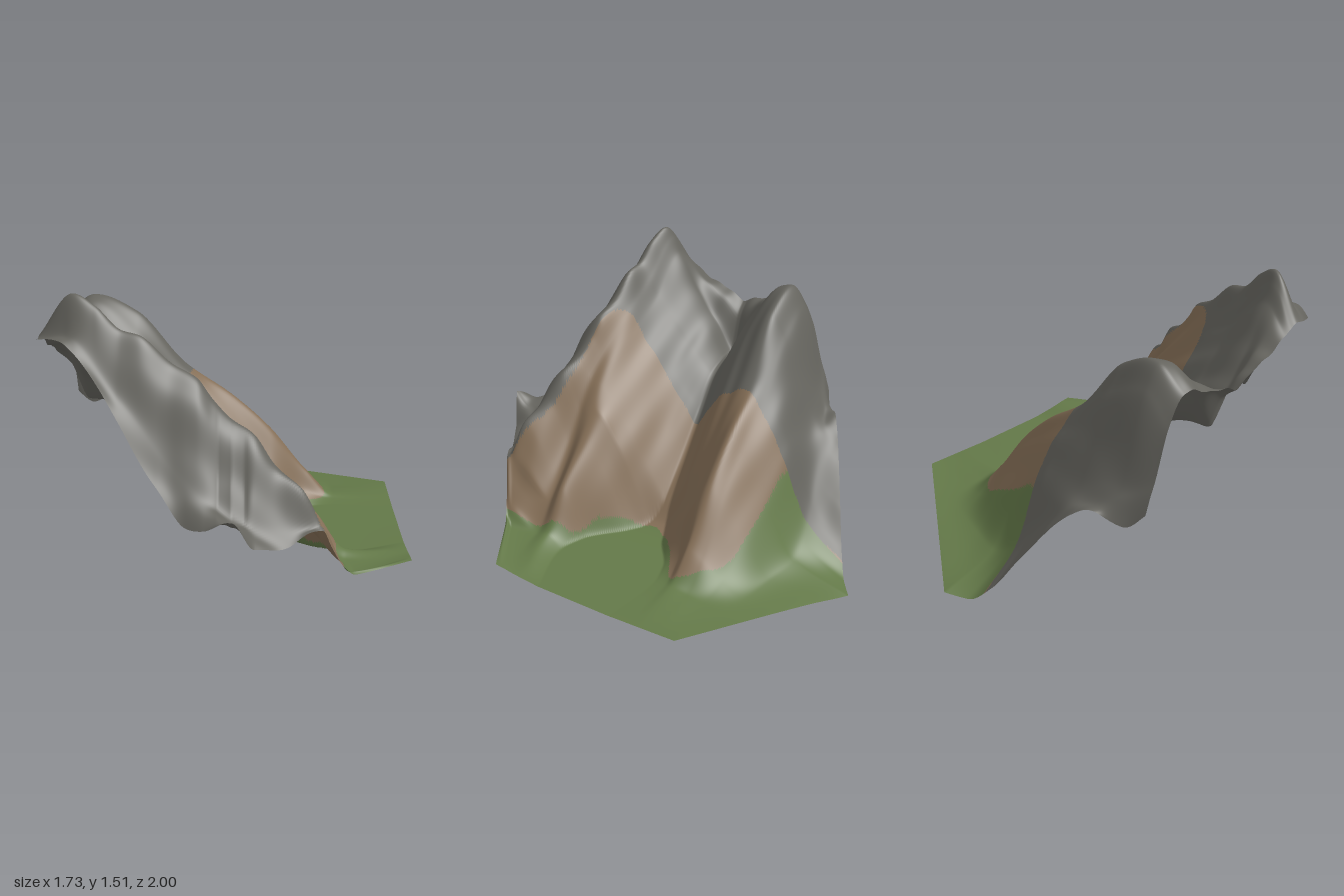
import * as THREE from 'three';

// Monotone cubic interpolation through (xs, ys)
function curve(xs, ys) {
  const n = xs.length, d = [], m = [];
  for (let i = 0; i < n - 1; i++) d.push((ys[i + 1] - ys[i]) / (xs[i + 1] - xs[i]));
  for (let i = 0; i < n; i++) {
    if (i === 0) m.push(d[0]);
    else if (i === n - 1) m.push(d[n - 2]);
    else m.push(d[i - 1] * d[i] <= 0 ? 0 : 2 * d[i - 1] * d[i] / (d[i - 1] + d[i]));
  }
  return (x) => {
    if (x <= xs[0]) return ys[0];
    if (x >= xs[n - 1]) return ys[n - 1];
    let i = 0;
    while (x > xs[i + 1]) i++;
    const h = xs[i + 1] - xs[i], t = (x - xs[i]) / h, t2 = t * t, t3 = t2 * t;
    return (2 * t3 - 3 * t2 + 1) * ys[i] + (t3 - 2 * t2 + t) * h * m[i]
      + (3 * t2 - 2 * t3) * ys[i + 1] + (t3 - t2) * h * m[i + 1];
  };
}

const HALF = Math.sqrt(3) / 2;
const edgeZ = (x) => 1 - Math.abs(x) / Math.sqrt(3);

// Feature lines of the land run along x; each has a z path and a height path
const stations = [-HALF, -0.72, -0.5, -0.25, 0, 0.2, 0.4, 0.55, HALF];
const along = (...values) => curve(stations, values);
const crestZ = along(0.42, 0.44, 0.49, 0.515, 0.57, 0.65, 0.72, 0.65, 0.455);
const valleyY = curve(
  [-HALF, -0.8, -0.72, -0.62, -0.5, -0.34, -0.18, 0, 0.1, 0.16, HALF],
  [1.11, 1.05, 0.86, 0.845, 0.8, 0.635, 0.45, 0.265, 0.16, 0.14, 0.135]);
const backRimY = curve(
  [-HALF, -0.78, -0.66, -0.57, -0.455, -0.34, -0.22, -0.107, 0, 0.2, HALF],
  [0.69, 0.6, 0.65, 0.61, 0.47, 0.29, 0.1, 0.002, 0.01, 0.045, 0.13]);
const frontRimY = curve(
  [-HALF, -0.75, -0.69, -0.5, -0.33, -0.2, -0.12, 0, 0.1, 0.25, 0.36, 0.41, 0.45, 0.52, 0.58, HALF],
  [1.31, 1.32, 1.29, 1.01, 0.74, 0.58, 0.6, 0.66, 0.51, 0.475, 0.515, 0.5, 0.41, 0.28, 0.22, 0.2]);
const crestY = curve(
  [-HALF, -0.7, -0.6, -0.49, -0.41, -0.27, -0.155, -0.085, 0, 0.1, 0.195, 0.31, 0.38, 0.45, 0.51, 0.575, HALF],
  [1.31, 1.507, 1.45, 1.345, 1.325, 1.205, 1.145, 1.05, 0.96, 0.9, 0.775, 0.69, 0.565, 0.405, 0.285, 0.21, 0.193]);

const backLines = [
  // back rim
  { z: (x) => -edgeZ(x), y: backRimY },
  // back foot and lower flank
  { z: along(-0.475, -0.54, -0.63, -0.68, -0.7, -0.66, -0.62, -0.57, -0.475),
    y: along(0.76, 0.7, 0.59, 0.31, 0.12, 0.105, 0.1, 0.105, 0.131) },
  { z: along(-0.45, -0.5, -0.55, -0.54, -0.53, -0.52, -0.5, -0.48, -0.45),
    y: along(0.82, 0.77, 0.69, 0.63, 0.42, 0.29, 0.16, 0.118, 0.131) },
  // back ridge: outer shoulder, crest, inner shoulder
  { z: along(-0.38, -0.38, -0.38, -0.39, -0.39, -0.39, -0.39, -0.39, -0.38),
    y: along(1.06, 1.19, 1.09, 0.86, 0.65, 0.47, 0.25, 0.135, 0.132) },
  { z: along(-0.29, -0.3, -0.3, -0.31, -0.32, -0.32, -0.31, -0.3, -0.3),
    y: along(1.2, 1.295, 1.2, 0.91, 0.72, 0.54, 0.29, 0.15, 0.133) },
  { z: along(-0.18, -0.18, -0.18, -0.18, -0.18, -0.18, -0.25, -0.26, -0.25),
    y: along(1.17, 1.22, 1.11, 0.83, 0.56, 0.34, 0.19, 0.142, 0.134) },
  // back side of the valley floor
  { z: along(0.02, 0.02, 0.02, 0.02, 0.01, -0.05, -0.17, -0.2, -0.15), y: valleyY },
];
const frontLines = [
  // front side of the valley floor
  { z: along(0.04, 0.04, 0.04, 0.04, 0.05, 0.15, 0.3, 0.34, 0.25),
    y: (x) => valleyY(x) + 0.022 * THREE.MathUtils.smoothstep(x, 0.1, 0.45) },
  // spur on the inner side of the front ridge, then the gully behind it
  { z: along(0.34, 0.37, 0.38, 0.4, 0.42, 0.43, 0.43, 0.43, 0.36),
    y: along(1.26, 1.37, 1.18, 1.03, 0.82, 0.61, 0.42, 0.22, 0.174) },
  { z: along(0.38, 0.41, 0.43, 0.45, 0.49, 0.5, 0.5, 0.5, 0.41),
    y: along(1.29, 1.46, 1.28, 1.11, 0.86, 0.56, 0.34, 0.2, 0.183) },
  // front ridge
  { z: crestZ, y: crestY },
  // outer slope of the front ridge
  { z: (x) => crestZ(x) + 0.72 * (edgeZ(x) - crestZ(x)),
    y: along(1.31, 1.33, 1.09, 0.79, 0.6, 0.53, 0.51, 0.24, 0.198) },
  // front rim
  { z: edgeZ, y: frontRimY },
];

// Cross-section at x: two flanks that meet in a sharp valley
function crossSection(x) {
  const flank = (lines) => curve(lines.map((l) => l.z(x)), lines.map((l) => l.y(x)));
  const back = flank(backLines), front = flank(frontLines);
  const z0 = backLines.at(-1).z(x), z1 = frontLines[0].z(x);
  return (z) => z < z0 ? back(z) : z > z1 ? front(z)
    : THREE.MathUtils.mapLinear(z, z0, z1, back(z0), front(z1));
}

// Gentle gullies on the steep ground
function roughness(x, z, y) {
  const steep = THREE.MathUtils.smoothstep(y, 0.2, 0.6);
  return steep * (0.005 * Math.sin(33 * z + 4 * x) + 0.004 * Math.sin(57 * z - 9 * x + 1));
}

// Borders between the colour zones, as x for a given z
const rockBorder = curve(
  [-0.9, -0.55, -0.3, 0, 0.4, 0.46, 0.53, 0.57, 0.64, 0.75, 0.82],
  [-0.19, -0.175, -0.22, -0.29, -0.315, -0.28, -0.13, 0.08, 0.25, 0.41, 0.5]);
const grassBorder = curve(
  [-0.57, -0.55, -0.53, -0.5, -0.42, -0.28, -0.15, 0.05, 0.27, 0.35, 0.45, 0.7, 0.8],
  [-0.18, -0.1, 0.1, 0.3, 0.42, 0.5, 0.3, 0.12, 0.3, 0.46, 0.5, 0.52, 0.52]);

export function createModel() {
  const group = new THREE.Group();
  group.name = 'hexagonalTerrainTile';
  const NX = 200, NZ = 200;

  // Shared surface grid, stretched to the hexagon outline
  const positions = [], zones = { rockSlope: [], earthSlope: [], grassland: [] }, all = [];
  for (let i = 0; i <= NX; i++) {
    const x = HALF * (2 * i / NX - 1), w = edgeZ(x), section = crossSection(x);
    for (let j = 0; j <= NZ; j++) {
      const z = w * (2 * j / NZ - 1), y = section(z);
      positions.push(x, y + roughness(x, z, y), z);
    }
  }

  // Sort each triangle into its zone
  const addTriangle = (...ids) => {
    const x = ids.reduce((s, k) => s + positions[3 * k], 0) / 3;
    const z = ids.reduce((s, k) => s + positions[3 * k + 2], 0) / 3;
    const zone = x < rockBorder(z) ? 'rockSlope' : x > grassBorder(z) ? 'grassland' : 'earthSlope';
    zones[zone].push(...ids);
    all.push(...ids);
  };
  for (let i = 0; i < NX; i++) {
    for (let j = 0; j < NZ; j++) {
      const a = i * (NZ + 1) + j, b = a + 1, c = a + NZ + 1, d = c + 1;
      addTriangle(a, b, c);
      addTriangle(b, d, c);
    }
  }

  // Smooth normals come from the whole surface so the zones join without a seam
  const whole = new THREE.BufferGeometry();
  whole.setAttribute('position', new THREE.Float32BufferAttribute(positions, 3));
  whole.setIndex(all);
  whole.computeVertexNormals();

  const colours = { rockSlope: ['greyRock', 0x65645e], earthSlope: ['brownEarth', 0x846e56], grassland: ['greenGrass', 0x637848] };
  for (const [name, ids] of Object.entries(zones)) {
    const geometry = new THREE.BufferGeometry();
    geometry.setAttribute('position', whole.getAttribute('position'));
    geometry.setAttribute('normal', whole.getAttribute('normal'));
    geometry.setIndex(ids);
    const [label, color] = colours[name];
    const material = new THREE.MeshStandardMaterial({ color, side: THREE.DoubleSide });
    material.name = label;
    const mesh = new THREE.Mesh(geometry, material);
    mesh.name = name;
    group.add(mesh);
  }
  return group;
}
